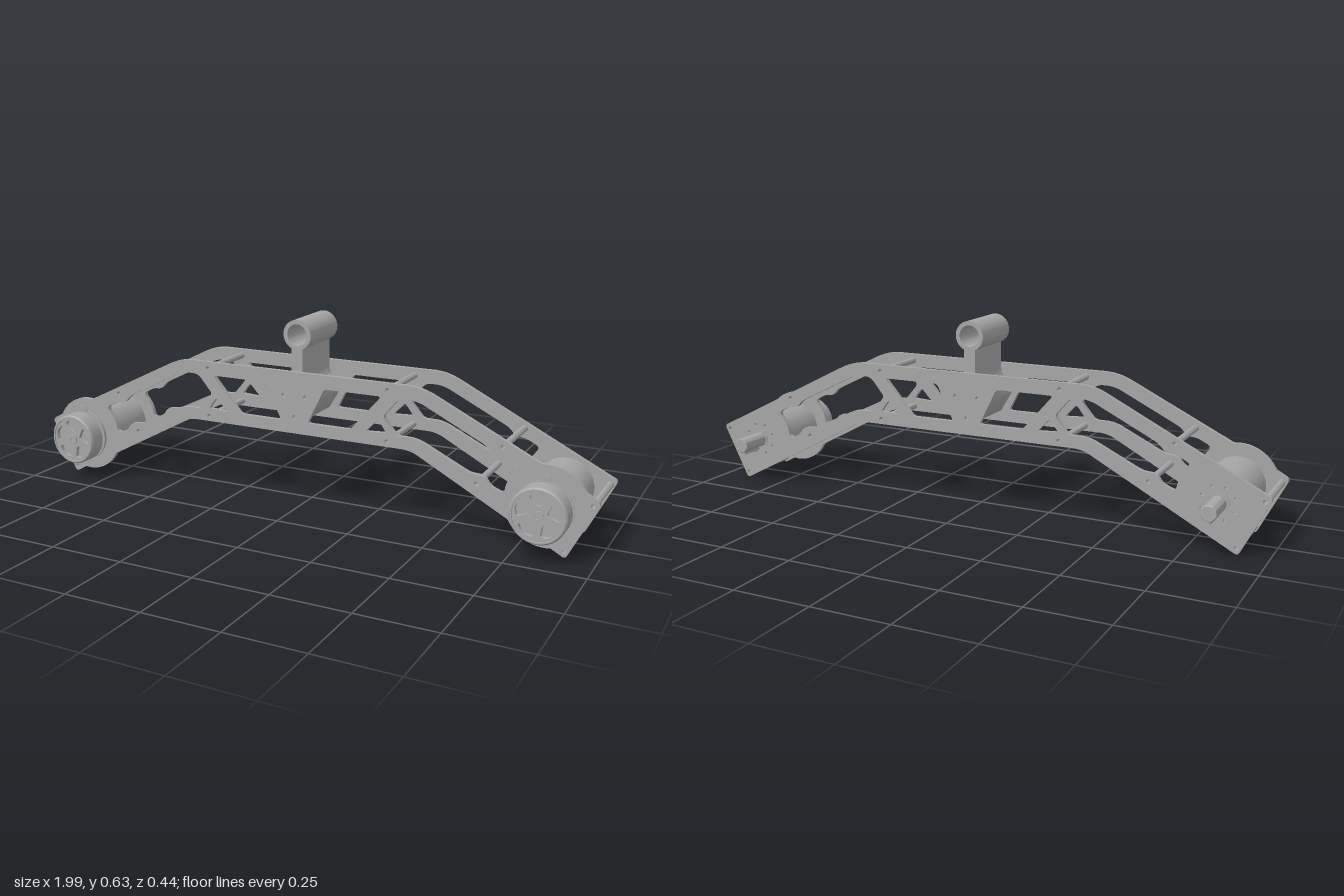
import * as THREE from 'three';
import { toCreasedNormals } from 'three/addons/utils/BufferGeometryUtils.js';

const grey = new THREE.MeshStandardMaterial({ color: 0xa6a6a6 });
grey.name = 'machined grey';

const MOTOR = [0.84, 0.153];
const PLATE_T = 0.015, FRONT_Z = 0.113, BACK_Z = -0.111;

// Trace [x, y, cornerRadius] points, rounding each corner.
function trace(path, pts) {
  const n = pts.length;
  pts.forEach((p, i) => {
    const a = pts[(i + n - 1) % n], b = pts[(i + 1) % n], r = p[2] || 0;
    const toward = (q) => {
      const d = Math.hypot(q[0] - p[0], q[1] - p[1]);
      const k = Math.min(r / d, 0.48);
      return [p[0] + (q[0] - p[0]) * k, p[1] + (q[1] - p[1]) * k];
    };
    const s = toward(a), e = toward(b);
    if (i === 0) path.moveTo(...s); else path.lineTo(...s);
    if (r) path.quadraticCurveTo(p[0], p[1], ...e);
  });
  path.closePath();
  return path;
}
const circlePath = (x, y, r) => new THREE.Path().absarc(x, y, r, 0, Math.PI * 2, true);
const flip = (pts) => pts.map(([x, y, r]) => [-x, y, r]);
const arc = (cx, cy, r, from, to, n) => Array.from({ length: n + 1 }, (_, i) => {
  const a = THREE.MathUtils.degToRad(from + (to - from) * i / n);
  return [cx + r * Math.cos(a), cy + r * Math.sin(a)];
});

function mesh(name, geometry, parent) {
  const m = new THREE.Mesh(geometry, grey);
  m.name = name;
  parent.add(m);
  return m;
}
function extrude(name, shape, z0, z1, parent, curveSegments = 10) {
  const g = new THREE.ExtrudeGeometry(shape, { depth: z1 - z0, bevelEnabled: false, curveSegments });
  g.translate(0, 0, z0);
  return mesh(name, toCreasedNormals(g, 0.6), parent);
}
// Solid of revolution about z from [radius, z] points, listed from back to front.
function turned(name, profile, parent) {
  const g = new THREE.LatheGeometry(profile.map(([r, z]) => new THREE.Vector2(r, z)), 48);
  g.rotateX(Math.PI / 2);
  // the turn maps the axis onto +z
  return mesh(name, toCreasedNormals(g, 0.5), parent);
}
const disc = (name, r, z0, z1, parent) => turned(name, [[0, z0], [r, z0], [r, z1], [0, z1]], parent);

// Standoff positions on the +x half
const POSTS = [[0.326, 0.448], [0.326, 0.283], [0.70, 0.318], [0.622, 0.19], [0.977, 0.176], [0.9, 0.022]];
const BLOCK_BOLTS = [[-0.04, 0.39], [0.04, 0.39], [0, 0.32]];

// Windows on the +x half of a side plate
const WINDOWS = [
  [[0.108, 0.425, 0.012], [0.305, 0.425, 0.012], [0.2, 0.305, 0.012], [0.048, 0.305, 0.012]],
  [[0.253, 0.306, 0.01], [0.325, 0.31, 0.01], [0.295, 0.35, 0.01]],
  [[0.365, 0.425, 0.02], [0.425, 0.425, 0.03], [0.652, 0.313, 0.02], [0.672, 0.287, 0.02], [0.705, 0.286, 0.015],
    [0.752, 0.262, 0.015], [0.718, 0.215, 0.02], [0.708, 0.172, 0.015], [0.665, 0.19, 0.015],
    [0.648, 0.218, 0.02], [0.602, 0.22, 0.02], [0.425, 0.305, 0.03], [0.36, 0.305, 0.015], [0.312, 0.362, 0.012]],
];

function sidePlate(name, z, withDisc, parent) {
  const [mx, my] = MOTOR;
  const half = [
    [0.405, 0.265, 0.03],
    ...(withDisc ? arc(mx, my, 0.13, 207, 279, 10) : []),
    [0.905, 0, 0.012], [1, 0.187, 0.012],
    ...(withDisc ? arc(mx, my, 0.13, 27, 99, 10) : []),
    [0.435, 0.47, 0.05],
  ];
  const shape = trace(new THREE.Shape(), [...half, ...flip(half).reverse()]);
  for (const w of WINDOWS) {
    shape.holes.push(trace(new THREE.Path(), w), trace(new THREE.Path(), flip(w)));
  }
  for (const [x, y] of POSTS) shape.holes.push(circlePath(x, y, 0.007), circlePath(-x, y, 0.007));
  for (const [x, y] of BLOCK_BOLTS) shape.holes.push(circlePath(x, y, 0.007));
  // ring of small mounting holes around each shaft
  if (!withDisc) {
    for (const s of [-1, 1]) for (let i = 0; i < 8; i++) {
      const a = (i + 0.5) * Math.PI / 4;
      shape.holes.push(circlePath(s * mx + 0.055 * Math.cos(a), my + 0.055 * Math.sin(a), 0.005));
    }
  }
  extrude(name, shape, z, z + PLATE_T, parent);
}

function hangerBlock(parent) {
  // stem flaring into a tapered foot clamped between the plates
  const right = [[0.016, 0.3, 0.008], [0.058, 0.375, 0.01], [0.058, 0.405, 0.008], [0.02, 0.43, 0.03], [0.02, 0.548]];
  const foot = trace(new THREE.Shape(), [[0.016, 0.3, 0.006], [0.058, 0.37, 0.01], [0.058, 0.405],
    [-0.058, 0.405], [-0.058, 0.37, 0.01], [-0.016, 0.3, 0.006]]);
  extrude('hangerFoot', foot, -0.096, 0.113, parent);
  const stem = trace(new THREE.Shape(), [...right, ...flip(right).reverse()]);
  extrude('hangerStem', stem, -0.088, 0.107, parent);
  const eye = new THREE.Shape().absarc(0, 0.587, 0.049, 0, Math.PI * 2);
  eye.holes.push(circlePath(0, 0.587, 0.035));
  extrude('hangerEye', eye, -0.088, 0.107, parent, 24);
}

function motor(side, parent) {
  const g = new THREE.Group();
  g.name = side > 0 ? 'leftMotor' : 'rightMotor';
  g.position.set(side * MOTOR[0], MOTOR[1], 0);
  parent.add(g);

  disc('motorBody', 0.089, -0.096, 0.113, g);
  disc('motorCollar', 0.073, 0.128, 0.138, g);
  disc('motorFlange', 0.086, 0.139, 0.146, g);
  disc('motorNeck', 0.062, 0.137, 0.162, g);
  disc('brakeDisc', 0.09, 0.15, 0.154, g);
  const tab = mesh('brakeTab', new THREE.BoxGeometry(0.03, 0.03, 0.004), g);
  tab.position.set(0, 0.091, 0.152);

  // cup with a recessed floor behind a five-armed face
  turned('headCup', [[0, 0.16], [0.084, 0.16], [0.088, 0.164], [0.088, 0.217], [0.083, 0.223],
    [0.078, 0.223], [0.076, 0.204], [0, 0.204]], g);
  const face = new THREE.Shape().absarc(0, 0, 0.079, 0, Math.PI * 2);
  for (let i = 0; i < 5; i++) {
    const a = Math.PI / 2 + i * Math.PI * 2 / 5;
    const at = (r, d, round) => [r * Math.cos(a + d), r * Math.sin(a + d), round];
    face.holes.push(trace(new THREE.Path(),
      [at(0.027, 0, 0.01), at(0.066, -0.5, 0.012), at(0.075, 0, 0.03), at(0.066, 0.5, 0.012)]));
  }
  extrude('headFace', face, 0.204, 0.219, g, 20);
  turned('headHub', [[0, 0.219], [0.018, 0.219], [0.018, 0.223], [0.008, 0.223], [0.008, 0.219], [0, 0.219]], g);

  // output shaft with its key underneath
  disc('shaftCollar', 0.033, -0.114, -0.11, g);
  turned('outputShaft', [[0, -0.222], [0.023, -0.222], [0.025, -0.22], [0.025, -0.096], [0, -0.096]], g);
  const key = mesh('shaftKey', new THREE.BoxGeometry(0.012, 0.016, 0.082), g);
  key.position.set(0, -0.027, -0.171);
}

export function createModel() {
  const model = new THREE.Group();
  model.name = 'twinMotorBeam';
  sidePlate('frontPlate', FRONT_Z, true, model);
  sidePlate('backPlate', BACK_Z, false, model);

  // hollow standoffs joining the plates
  for (const [x, y] of POSTS) for (const s of [-1, 1]) {
    const ring = new THREE.Shape().absarc(s * x, y, 0.0105, 0, Math.PI * 2);
    ring.holes.push(circlePath(s * x, y, 0.007));
    extrude('standoff', ring, BACK_Z + PLATE_T, FRONT_Z, model, 8);
  }
  hangerBlock(model);
  motor(1, model);
  motor(-1, model);
  return model;
}
